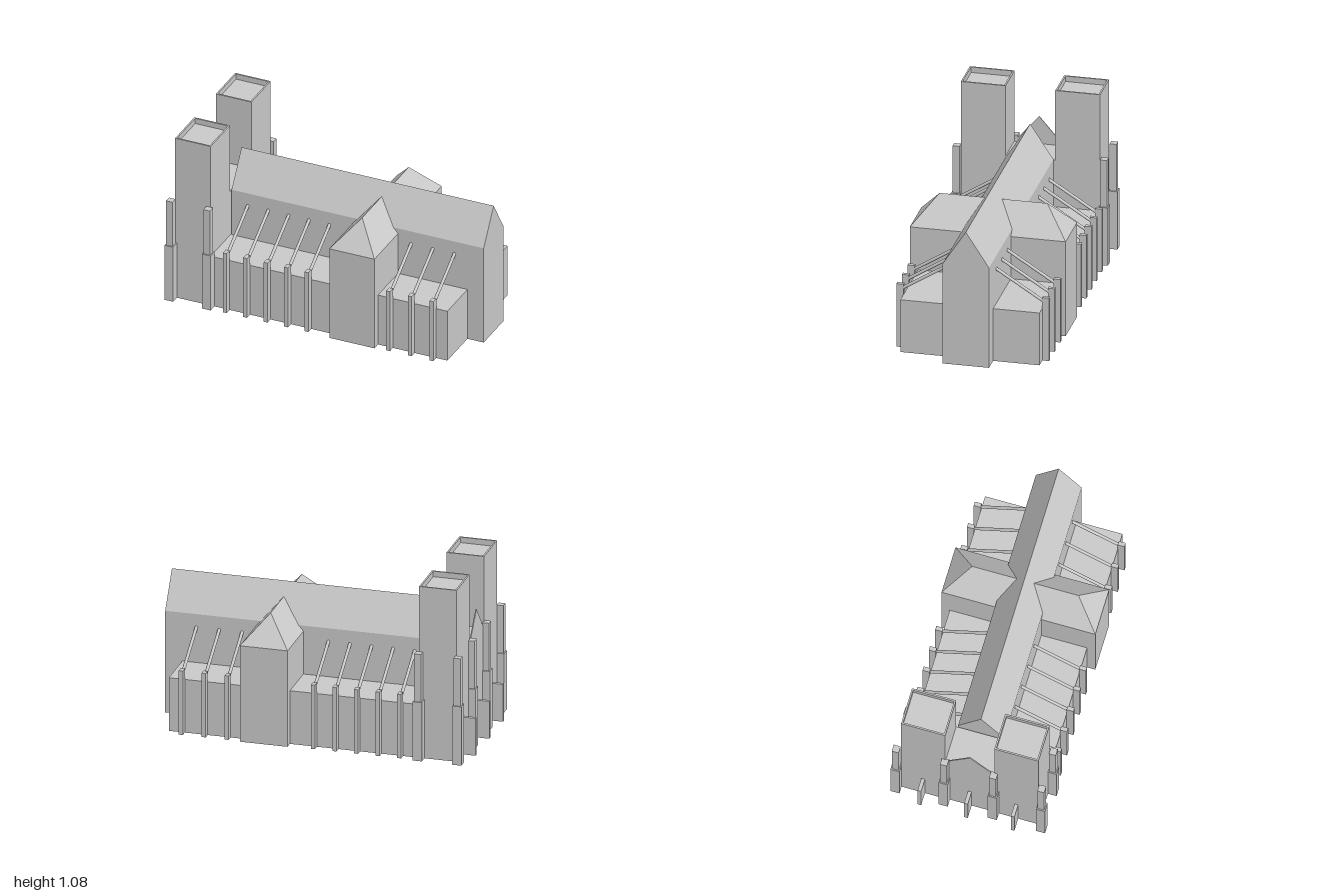
import * as THREE from 'three';

const stone = new THREE.MeshStandardMaterial({ color: 0xc8c8c8, side: THREE.DoubleSide });
stone.name = 'stone';

// Open-bottomed shell lofted through rectangles [y, halfLength, halfWidth], centred on (x, z)
function shell(name, x, z, rings) {
  const loops = rings.map(([y, a, b]) => [
    [x - a, y, z + b], [x + a, y, z + b], [x + a, y, z - b], [x - a, y, z - b]]);
  const pos = [];
  for (let r = 0; r < loops.length - 1; r++) {
    for (let i = 0; i < 4; i++) {
      const j = (i + 1) % 4, lo = loops[r], hi = loops[r + 1];
      pos.push(...lo[i], ...lo[j], ...hi[j], ...lo[i], ...hi[j], ...hi[i]);
    }
  }
  const geo = new THREE.BufferGeometry();
  geo.setAttribute('position', new THREE.Float32BufferAttribute(pos, 3));
  geo.computeVertexNormals();
  return named(name, geo);
}

function named(name, geo) {
  const mesh = new THREE.Mesh(geo, stone);
  mesh.name = name;
  return mesh;
}

// Solid block standing at height y
function block(name, x, y, z, w, h, d) {
  const mesh = named(name, new THREE.BoxGeometry(w, h, d));
  mesh.position.set(x, y + h / 2, z);
  return mesh;
}

// Round rod between two points
function rod(name, from, to, radius) {
  const dir = to.clone().sub(from);
  const mesh = named(name, new THREE.CylinderGeometry(radius, radius, dir.length(), 8));
  mesh.position.copy(from).add(to).multiplyScalar(0.5);
  mesh.quaternion.setFromUnitVectors(new THREE.Vector3(0, 1, 0), dir.normalize());
  return mesh;
}

export function createModel() {
  const church = new THREE.Group();
  church.name = 'church';

  // Nave with gabled roof
  church.add(shell('nave', 0.185, 0, [[0, 0.815, 0.14], [0.64, 0.815, 0.14], [0.855, 0.815, 0]]));

  // Low flat-roofed aisles
  church.add(shell('aisles', 0.129, 0, [[0, 0.766, 0.42], [0.335, 0.766, 0.42], [0.335, 0, 0]]));

  // Transept with hipped ends
  church.add(shell('transept', 0.3, 0, [[0, 0.146, 0.47], [0.605, 0.146, 0.47], [0.775, 0, 0.325]]));

  // Entrance block with its gable screen
  church.add(shell('entranceBlock', -0.75, 0, [[0, 0.114, 0.15], [0.63, 0.114, 0.15], [0.63, 0, 0]]));
  const tri = new THREE.Shape([
    new THREE.Vector2(-0.15, 0.63), new THREE.Vector2(0.15, 0.63), new THREE.Vector2(0, 0.805)]);
  const gable = named('entranceGable', new THREE.ExtrudeGeometry(tri, { depth: 0.006, bevelEnabled: false }));
  gable.rotation.y = Math.PI / 2;
  gable.position.x = -0.864;
  church.add(gable);

  for (const s of [1, -1]) {
    // Tower with recessed roof behind a parapet
    church.add(shell('tower', -0.751, s * 0.285, [
      [0, 0.115, 0.135], [1.08, 0.115, 0.135], [1.08, 0.105, 0.125], [1.045, 0.105, 0.125], [1.045, 0, 0]]));

    // Stepped corner buttresses of the tower
    for (const [x, z] of [[-0.882, 0.445], [-0.64, 0.445], [-0.882, 0.15]]) {
      church.add(block('towerButtressBase', x, 0, s * z, 0.056, 0.37, 0.056));
      church.add(block('towerButtressTop', x, 0.37, s * z, 0.042, 0.3, 0.042));
    }

    // Low fin in front of the tower
    church.add(block('frontFin', -0.905, 0, s * 0.285, 0.08, 0.235, 0.022));

    // Aisle buttresses with flying struts
    for (const x of [-0.526, -0.394, -0.262, -0.13, 0.002, 0.53, 0.67, 0.81]) {
      church.add(block('aisleButtress', x, 0, s * 0.44, 0.025, 0.403, 0.042));
      church.add(rod('flyingStrut',
        new THREE.Vector3(x, 0.372, s * 0.43), new THREE.Vector3(x, 0.558, s * 0.135), 0.01));
    }
  }

  // Low fin in front of the entrance
  church.add(block('frontFin', -0.905, 0, 0, 0.08, 0.235, 0.022));

  // The building stands at an angle
  church.rotation.y = THREE.MathUtils.degToRad(15);
  church.position.set(-0.006, 0, -0.024);
  const model = new THREE.Group();
  model.name = 'model';
  model.add(church);
  return model;
}
